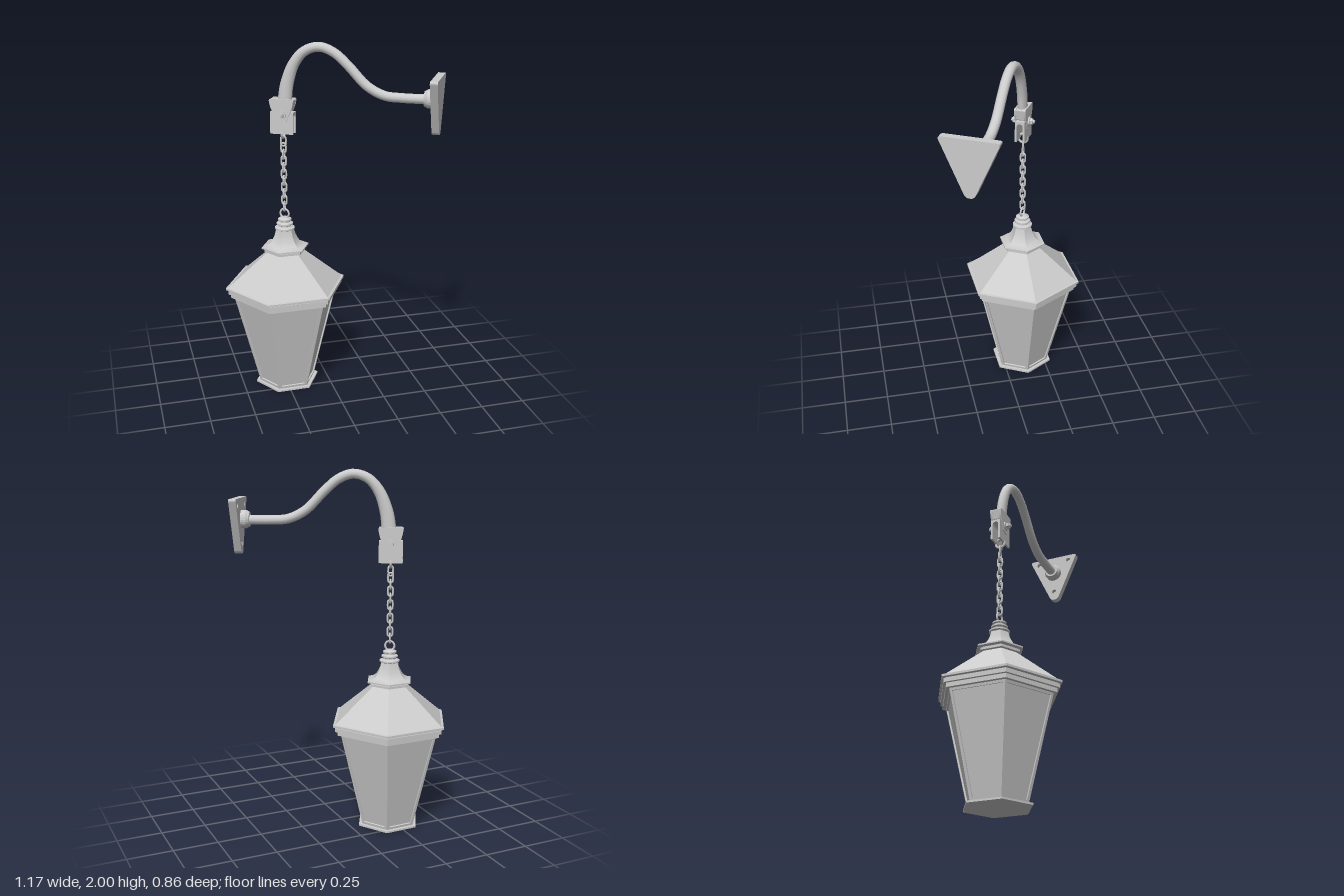
import * as THREE from 'three';
import { toCreasedNormals } from 'three/addons/utils/BufferGeometryUtils.js';

const smooth = new THREE.MeshStandardMaterial({ color: 0xcccccc });
const flat = new THREE.MeshStandardMaterial({ color: 0xcccccc, flatShading: true });
const HEX_START = Math.PI / 2 + 0.02;

const points = (list) => list.map(([a, b]) => new THREE.Vector2(a, b));

function add(parent, name, geometry, material = flat) {
  const mesh = new THREE.Mesh(geometry, material);
  mesh.name = name;
  parent.add(mesh);
  return mesh;
}

// Six-sided turned form from [radius, height] pairs, bottom to top
const hexLathe = (profile) => new THREE.LatheGeometry(points(profile), 6, HEX_START);

// Closed shape with rounded corners
function roundedShape(corners, r) {
  const pts = points(corners), n = pts.length, shape = new THREE.Shape();
  pts.forEach((p, i) => {
    const a = pts[(i + n - 1) % n].clone().sub(p).setLength(r).add(p);
    const b = pts[(i + 1) % n].clone().sub(p).setLength(r).add(p);
    if (i) shape.lineTo(a.x, a.y); else shape.moveTo(a.x, a.y);
    shape.quadraticCurveTo(p.x, p.y, b.x, b.y);
  });
  shape.closePath();
  return shape;
}

const extrude = (shape, depth) =>
  new THREE.ExtrudeGeometry(shape, { depth, bevelEnabled: false, curveSegments: 10 });

// Swept arm in the local x-y plane, thick at the lamp end
function armGeometry() {
  const curve = new THREE.CatmullRomCurve3([
    [0.0, 1.6], [0.012, 1.68], [0.025, 1.77], [0.065, 1.88], [0.125, 1.95], [0.205, 1.975],
    [0.285, 1.948], [0.36, 1.885], [0.465, 1.78], [0.56, 1.734], [0.65, 1.727], [0.82, 1.727],
  ].map(([x, y]) => new THREE.Vector3(x, y, 0)));
  const rows = 64, sides = 12, pos = [], index = [];
  for (let i = 0; i <= rows; i++) {
    const t = i / rows, p = curve.getPointAt(t), d = curve.getTangentAt(t);
    const half = 0.026 + 0.014 * (1 - THREE.MathUtils.smoothstep(t, 0.05, 0.38));
    for (let j = 0; j < sides; j++) {
      const a = (j / sides) * Math.PI * 2, n = Math.cos(a) * half;
      pos.push(p.x - d.y * n, p.y + d.x * n, Math.sin(a) * 0.027);
      if (i === rows) continue;
      const k = i * sides + j, m = i * sides + (j + 1) % sides;
      index.push(k, m, k + sides, m, m + sides, k + sides);
    }
  }
  const g = new THREE.BufferGeometry();
  g.setAttribute('position', new THREE.Float32BufferAttribute(pos, 3));
  g.setIndex(index);
  g.computeVertexNormals();
  return g;
}

function buildLantern(parent) {
  const lantern = new THREE.Group();
  lantern.name = 'lantern';
  parent.add(lantern);

  add(lantern, 'basePlate', hexLathe([[0, 0], [0.187, 0], [0.187, 0.01], [0, 0.01]]));
  add(lantern, 'glassPanes', hexLathe([[0.155, 0.01], [0.292, 0.56]]));

  // Sloping window frames, one per face
  const bottom = 0.165, top = 0.302, height = 0.55, bar = 0.014;
  const apothem = Math.cos(Math.PI / 6);
  const run = (top - bottom) * apothem, slant = Math.hypot(run, height);
  const trapezoid = (inset, lift) => points([
    [-bottom / 2 + inset, lift], [bottom / 2 - inset, lift],
    [top / 2 - inset, slant - lift], [-top / 2 + inset, slant - lift],
  ]);
  const frameShape = new THREE.Shape(trapezoid(0, 0));
  frameShape.holes.push(new THREE.Path(trapezoid(bar, bar)));
  const frameGeometry = extrude(frameShape, 0.012).translate(0, 0, -0.012);
  for (let k = 0; k < 6; k++) {
    const side = new THREE.Group();
    side.name = 'windowSide';
    side.rotation.y = HEX_START + Math.PI / 6 + k * Math.PI / 3;
    lantern.add(side);
    const frame = add(side, 'windowFrame', frameGeometry);
    frame.position.set(0, 0.01, bottom * apothem);
    frame.rotation.x = Math.atan2(run, height);
  }

  // Stepped eaves and roof
  add(lantern, 'eaves', hexLathe([
    [0, 0.56], [0.322, 0.56], [0.322, 0.583], [0.337, 0.583], [0.337, 0.603],
    [0.328, 0.603], [0.328, 0.61], [0.35, 0.61], [0.35, 0.622], [0.335, 0.624],
  ]));
  add(lantern, 'roof', hexLathe([[0.335, 0.624], [0.095, 0.822]]));
  add(lantern, 'roofCollar', hexLathe([
    [0, 0.818], [0.12, 0.818], [0.12, 0.83], [0.108, 0.83], [0.108, 0.838],
    [0.137, 0.838], [0.137, 0.846],
  ]));
  add(lantern, 'roofNeck', toCreasedNormals(hexLathe([
    [0.137, 0.846], [0.116, 0.85], [0.099, 0.858], [0.085, 0.87], [0.073, 0.888],
    [0.061, 0.912], [0.052, 0.945], [0, 0.945],
  ]), 0.6), smooth);

  // Round finial and hanging ring
  add(lantern, 'finial', new THREE.LatheGeometry(points([
    [0, 0.942], [0.04, 0.942], [0.056, 0.95], [0.056, 0.958], [0.036, 0.965], [0.036, 0.971],
    [0.046, 0.976], [0.046, 0.984], [0.03, 0.99], [0.03, 0.996], [0.038, 1.0], [0.038, 1.008],
    [0.02, 1.017], [0, 1.018],
  ]), 28));
  const ring = add(lantern, 'hangingRing', new THREE.TorusGeometry(0.026, 0.006, 8, 24), smooth);
  ring.position.y = 1.038;
  ring.rotation.y = -0.65;
}

function buildChain(parent) {
  const chain = new THREE.Group();
  chain.name = 'chain';
  parent.add(chain);
  const link = new THREE.TorusGeometry(0.014, 0.0055, 8, 20);
  const p = link.attributes.position;
  for (let i = 0; i < p.count; i++) p.setY(i, p.getY(i) + Math.sign(Math.round(p.getY(i) * 1e5)) * 0.013);
  const count = 11, low = 1.08, high = 1.455;
  for (let i = 0; i < count; i++) {
    const m = add(chain, 'chainLink', link, smooth);
    m.position.y = low + (high - low) * i / (count - 1);
    m.rotation.y = i % 2 ? 0 : Math.PI / 2;
    if (i === count - 1) m.rotation.y = 0.3;
  }
  const shackle = add(chain, 'topLink', new THREE.TorusGeometry(0.026, 0.007, 8, 24), smooth);
  shackle.position.y = 1.5;
  shackle.rotation.y = Math.PI / 2;
}

function buildBracket(parent) {
  const bracket = new THREE.Group();
  bracket.name = 'hangerBracket';
  parent.add(bracket);

  // Arched channel, open below and at both ends
  const arch = new THREE.Shape(points([[-0.028, 1.5], [-0.017, 1.5]]));
  arch.lineTo(-0.017, 1.59);
  arch.absarc(0, 1.59, 0.017, Math.PI, 0, true);
  arch.lineTo(0.017, 1.5);
  arch.lineTo(0.028, 1.5);
  arch.lineTo(0.028, 1.62);
  arch.lineTo(-0.028, 1.62);
  arch.closePath();
  const channel = add(bracket, 'channel', extrude(arch, 0.13).translate(0, 0, -0.065));
  channel.rotation.y = Math.PI / 2;

  // Arm foot: solid top with a cheek plate down each side
  add(bracket, 'armFoot', extrude(roundedShape([
    [-0.068, 1.69], [-0.056, 1.625], [0.056, 1.625], [0.068, 1.69],
  ], 0.008), 0.044).translate(0, 0, -0.022));
  const cheek = extrude(roundedShape([
    [-0.07, 1.692], [-0.062, 1.65], [-0.022, 1.56], [0.022, 1.56], [0.062, 1.65], [0.07, 1.692],
  ], 0.012), 0.012);
  for (const s of [-1, 1]) {
    add(bracket, 'cheek', cheek).position.z = s * 0.027 - 0.006;
    const washer = add(bracket, 'washer', new THREE.CylinderGeometry(0.026, 0.026, 0.008, 20));
    const nut = add(bracket, 'nut', new THREE.CylinderGeometry(0.019, 0.019, 0.016, 6));
    washer.rotation.x = nut.rotation.x = Math.PI / 2;
    washer.position.set(0, 1.605, s * 0.037);
    nut.position.set(0, 1.605, s * 0.048);
  }
  const bolt = add(bracket, 'bolt', new THREE.CylinderGeometry(0.01, 0.01, 0.132, 14));
  bolt.rotation.x = Math.PI / 2;
  bolt.position.y = 1.605;
}

function buildWallPlate(parent) {
  const plate = new THREE.Group();
  plate.name = 'wallPlate';
  plate.rotation.y = Math.PI / 2;
  parent.add(plate);
  const corners = [[-0.158, 1.845], [-0.022, 1.543], [0.022, 1.543], [0.158, 1.845]];
  const front = roundedShape(corners, 0.02);
  for (const [x, y] of [[-0.1, 1.81], [0.1, 1.81], [0, 1.6]]) {
    front.holes.push(new THREE.Path().absarc(x, y, 0.014, 0, Math.PI * 2, true));
  }
  // Drilled layer on the arm side, solid layer behind it
  add(plate, 'drilledLayer', extrude(front, 0.025)).position.z = 0.816;
  add(plate, 'backLayer', extrude(roundedShape(corners, 0.02), 0.015)).position.z = 0.841;

  // Socket holding the arm
  const socket = add(parent, 'armSocket', new THREE.LatheGeometry(points([
    [0.05, 0], [0.05, 0.03], [0.045, 0.038], [0.04, 0.048], [0, 0.048],
  ]), 28));
  socket.rotation.z = Math.PI / 2;
  socket.position.set(0.818, 1.73, 0);
}

export function createModel() {
  const model = new THREE.Group();
  model.name = 'hangingWallLantern';
  const body = new THREE.Group();
  body.name = 'lanternBody';
  body.position.set(-0.235, 0, -0.122);
  model.add(body);
  buildLantern(body);

  // Wall fitting turned toward its mounting direction
  const fitting = new THREE.Group();
  fitting.name = 'wallFitting';
  fitting.rotation.y = -0.52;
  body.add(fitting);
  buildChain(fitting);
  buildBracket(fitting);
  add(fitting, 'arm', armGeometry(), smooth);
  buildWallPlate(fitting);
  return model;
}
